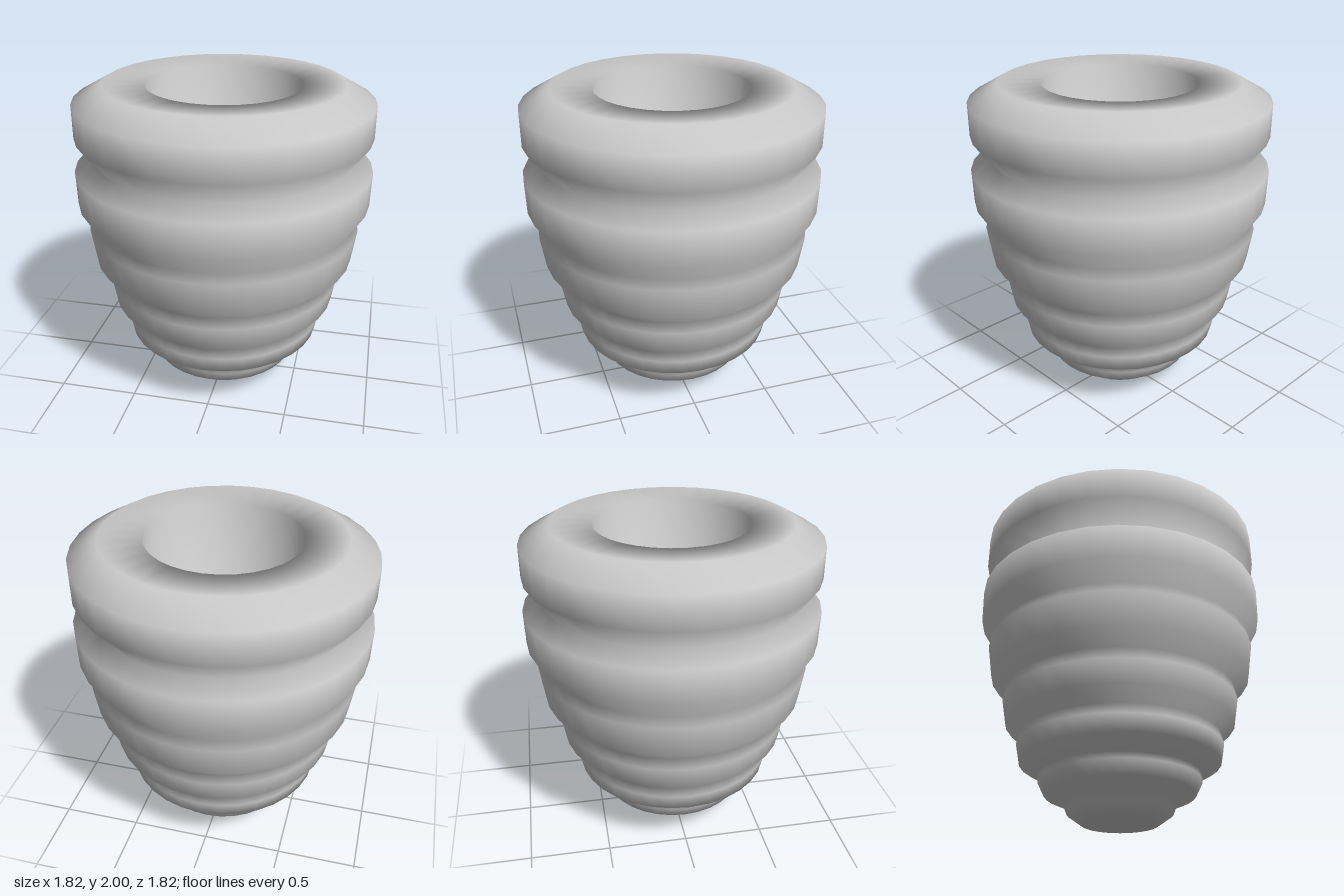
import * as THREE from 'three';

const SIDES = 32;

// Smooth turned surface from [radius, height] points, bottom to top on the outside
function turned(name, points, material) {
  const profile = points.map(([r, y]) => new THREE.Vector2(r, y));
  const mesh = new THREE.Mesh(new THREE.LatheGeometry(profile, SIDES), material);
  mesh.name = name;
  return mesh;
}

export function createModel() {
  const group = new THREE.Group();
  group.name = 'ribbedPot';
  const material = new THREE.MeshStandardMaterial({ color: 0xcccccc, side: THREE.DoubleSide });

  group.add(turned('ribbedBody', [
    [0, 0], [0.235, 0],
    // stacked coils, growing wider upward
    [0.32, 0.06], [0.345, 0.125],
    [0.46, 0.17], [0.5, 0.25], [0.495, 0.29],
    [0.62, 0.36], [0.64, 0.46], [0.63, 0.52],
    [0.715, 0.6], [0.74, 0.74], [0.73, 0.81],
    [0.82, 0.9], [0.85, 1.1], [0.83, 1.16],
    [0.905, 1.28], [0.91, 1.49], [0.8, 1.56],
    // thick rim
    [0.9, 1.7], [0.9, 1.9], [0.72, 2], [0.468, 1.985],
    // inner well and its floor
    [0.468, 1.1], [0, 1.1],
  ], material));

  return group;
}
